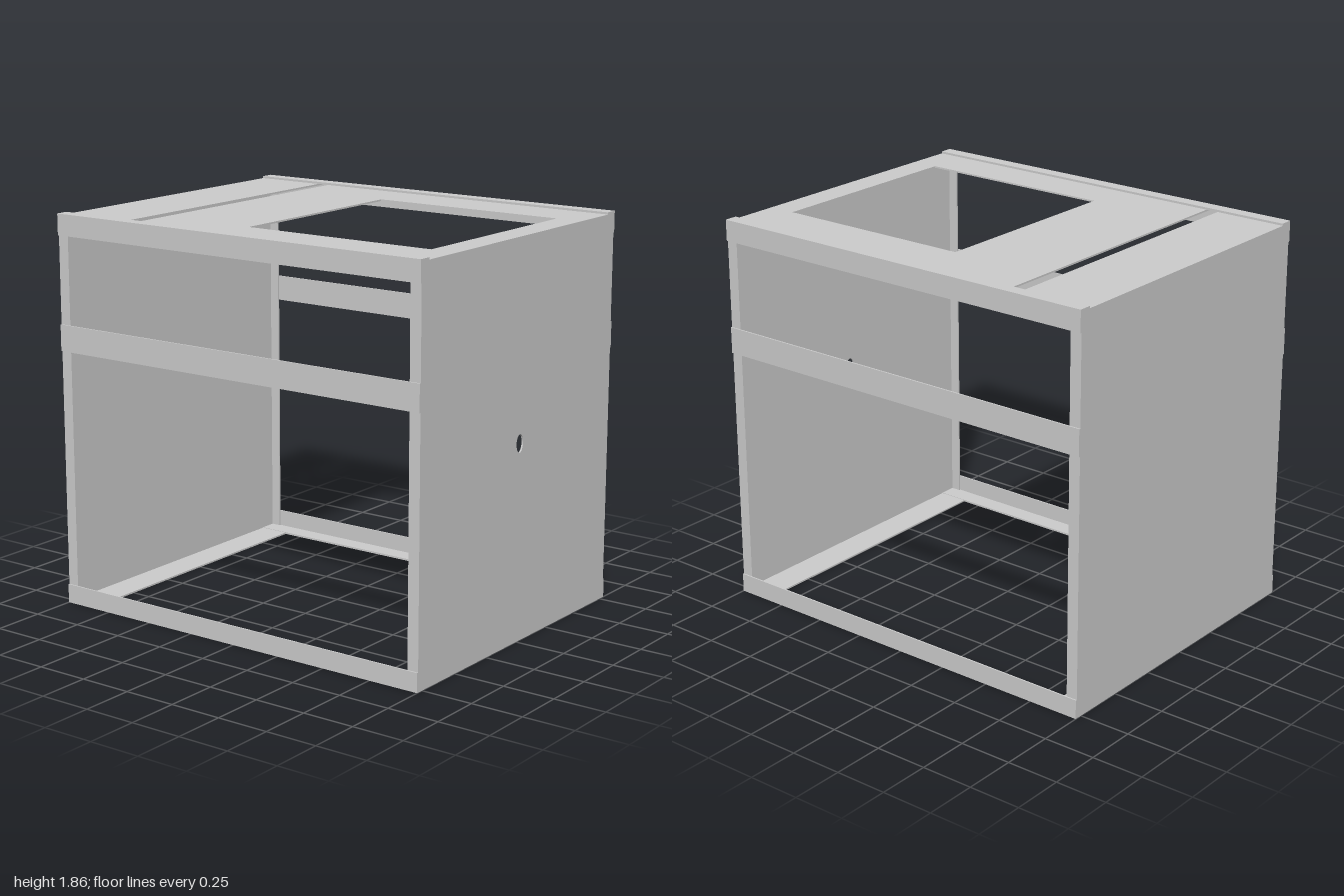
import * as THREE from 'three';

const T = 0.008; // sheet thickness

export function createModel() {
  const cabinet = new THREE.Group();
  cabinet.name = 'cabinetFrame';
  const mat = new THREE.MeshStandardMaterial({ color: 0xcccccc, flatShading: true });

  const add = (name, geometry, parent = cabinet) => {
    const mesh = new THREE.Mesh(geometry, mat);
    mesh.name = name;
    parent.add(mesh);
    return mesh;
  };
  // box given by its limits on each axis
  const box = (name, [x0, x1], [y0, y1], [z0, z1], parent) => {
    const mesh = add(name, new THREE.BoxGeometry(x1 - x0, y1 - y0, z1 - z0), parent);
    mesh.position.set((x0 + x1) / 2, (y0 + y1) / 2, (z0 + z1) / 2);
    return mesh;
  };
  // flat sheet outline, ready for holes
  const sheet = (x0, x1, y0, y1) => new THREE.Shape([
    new THREE.Vector2(x0, y0), new THREE.Vector2(x1, y0),
    new THREE.Vector2(x1, y1), new THREE.Vector2(x0, y1),
  ]);
  const extrude = (shape) => new THREE.ExtrudeGeometry(shape, { depth: T, bevelEnabled: false, curveSegments: 24 });

  // front panel with an oval hole, and plain back panel
  const front = sheet(-0.78, 0.78, 0, 1.85);
  front.holes.push(new THREE.Path().absellipse(0, 0.925, 0.027, 0.042, 0, Math.PI * 2, true));
  add('frontPanel', extrude(front)).position.z = 1 - T;
  box('backPanel', [-0.78, 0.78], [0, 1.85], [-1, -1 + T]);

  // folded edges of both panels
  for (const s of [1, -1]) {
    const name = s > 0 ? 'front' : 'back';
    const span = (depth) => (s > 0 ? [1 - depth, 1 - T] : [-1 + T, -1 + depth]);
    box(name + 'BottomFlange', [-0.78, 0.78], [0, T], span(0.157));
    box(name + 'LeftFlange', [0.78 - T, 0.78], [T, 1.84], span(0.055));
    box(name + 'RightFlange', [-0.78, -0.78 + T], [T, 1.84], span(0.055));
  }

  // top plate with its rectangular opening (shape y becomes -z)
  const top = sheet(-0.78, 0.78, -1 + T, 0.59);
  top.holes.push(new THREE.Path(sheet(-0.52, 0.49, -0.87, 0.1).getPoints().reverse()));
  const topPlate = add('topPlate', extrude(top));
  topPlate.rotation.x = -Math.PI / 2;
  topPlate.position.y = 1.85 - T;
  box('rearTopPlate', [-0.78, 0.78], [1.85 - T, 1.85], [-1 + T, -0.65]);

  // bar below the slot between the two top plates
  box('slotBar', [-0.78, 0.78], [1.762, 1.762 + T], [-0.655, -0.585]);

  // side rails: angle profiles above and below, flat strip in the middle
  for (const s of [1, -1]) {
    const rails = new THREE.Group();
    rails.name = s > 0 ? 'leftRails' : 'rightRails';
    cabinet.add(rails);
    const x = (a, b) => (s > 0 ? [a, b] : [-b, -a]);
    const z = [-1, 1];
    box('topRailSide', x(0.78, 0.787), [1.76, 1.86], z, rails);
    box('topRailLip', x(0.725, 0.78), [1.85, 1.86], z, rails);
    box('middleRail', x(0.78, 0.787), [1.22, 1.345], z, rails);
    box('bottomRailSide', x(0.78, 0.787), [0, 0.09], z, rails);
    box('bottomRailLip', x(0.69, 0.78), [0.001, T + 0.002], [-1 + T, 1 - T], rails);
  }
  return cabinet;
}
